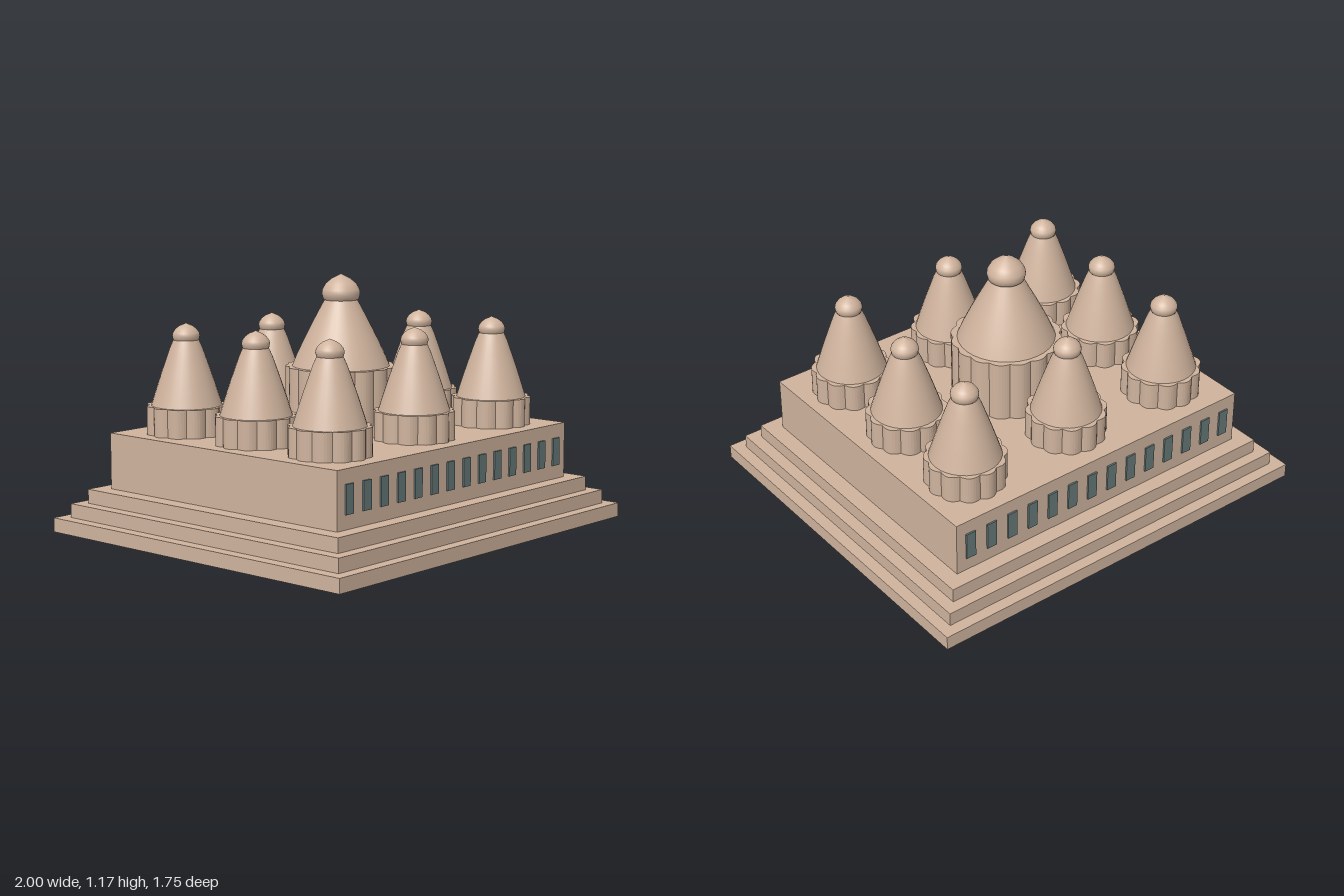
import * as THREE from 'three';

export function createModel() {
  const model = new THREE.Group();
  const stone = new THREE.MeshStandardMaterial({ color: 0xcfb39d });
  stone.name = 'sandstone';
  const glass = new THREE.MeshStandardMaterial({ color: 0x667879 });
  glass.name = 'window slate';

  function add(parent, name, geometry, material, x = 0, y = 0, z = 0) {
    const mesh = new THREE.Mesh(geometry, material);
    mesh.name = name;
    mesh.position.set(x, y, z);
    parent.add(mesh);
    return mesh;
  }

  // Stepped plinth and main hall: half width, half depth, bottom, top
  const tiers = [
    ['lowerStep', 1, 0.875, 0, 0.066],
    ['middleStep', 0.943, 0.82, 0.066, 0.131],
    ['upperStep', 0.885, 0.765, 0.131, 0.197],
    ['hall', 0.808, 0.692, 0.197, 0.457],
  ];
  for (const [name, hx, hz, y0, y1] of tiers) {
    add(model, name, new THREE.BoxGeometry(hx * 2, y1 - y0, hz * 2), stone, 0, (y0 + y1) / 2, 0);
  }

  // Window rows on the front and back walls
  const pane = new THREE.BoxGeometry(0.05, 0.13, 0.009);
  for (const side of [1, -1]) {
    for (let i = 0; i < 14; i++) {
      add(model, 'window', pane, glass, (i - 6.5) * 0.113, 0.327, side * 0.6955);
    }
  }

  // Drum with shallow scalloped lobes around its wall
  function drumGeometry(radius, depth, lobes, height) {
    const points = [];
    const count = lobes * 8;
    for (let i = 0; i < count; i++) {
      const a = (i / count) * Math.PI * 2;
      const r = radius - depth * (1 - Math.abs(Math.cos(a * lobes / 2)));
      points.push(new THREE.Vector2(Math.cos(a) * r, Math.sin(a) * r));
    }
    const geometry = new THREE.ExtrudeGeometry(new THREE.Shape(points), { depth: height, bevelEnabled: false });
    return geometry.rotateX(-Math.PI / 2);
  }

  function lathe(profile) {
    return new THREE.LatheGeometry(profile.map(([r, y]) => new THREE.Vector2(r, y)), 32);
  }

  // Tower: scalloped drum, tapering spire and pointed finial
  function tower(name, x, z, drum, spire, finial) {
    const group = new THREE.Group();
    group.name = name;
    group.position.set(x, 0.457, z);
    add(group, 'drum', drum, stone);
    add(group, 'spire', spire, stone);
    add(group, 'finial', finial, stone);
    model.add(group);
  }

  // Central tower
  tower('centralTower', 0, 0,
    drumGeometry(0.257, 0.013, 16, 0.293),
    lathe([[0.226, 0.293], [0.205, 0.343], [0.178, 0.4], [0.15, 0.457], [0.121, 0.513], [0.096, 0.56], [0.074, 0.6]]),
    lathe([[0.07, 0.592], [0.083, 0.602], [0.089, 0.625], [0.086, 0.645],
      [0.07, 0.672], [0.042, 0.695], [0.016, 0.708], [0, 0.716]]));

  // Ring of eight smaller towers
  const drum = drumGeometry(0.186, 0.016, 12, 0.13);
  const spire = lathe([[0.162, 0.13], [0.147, 0.178], [0.131, 0.228], [0.113, 0.282], [0.094, 0.336], [0.075, 0.39], [0.058, 0.428]]);
  const finial = lathe([[0.052, 0.422], [0.059, 0.43], [0.063, 0.447], [0.06, 0.461],
    [0.048, 0.478], [0.03, 0.492], [0.012, 0.499], [0, 0.505]]);
  for (const x of [-0.567, 0, 0.567]) {
    for (const z of [-0.438, 0, 0.438]) {
      if (x || z) tower('outerTower', x, z, drum, spire, finial);
    }
  }
  return model;
}
